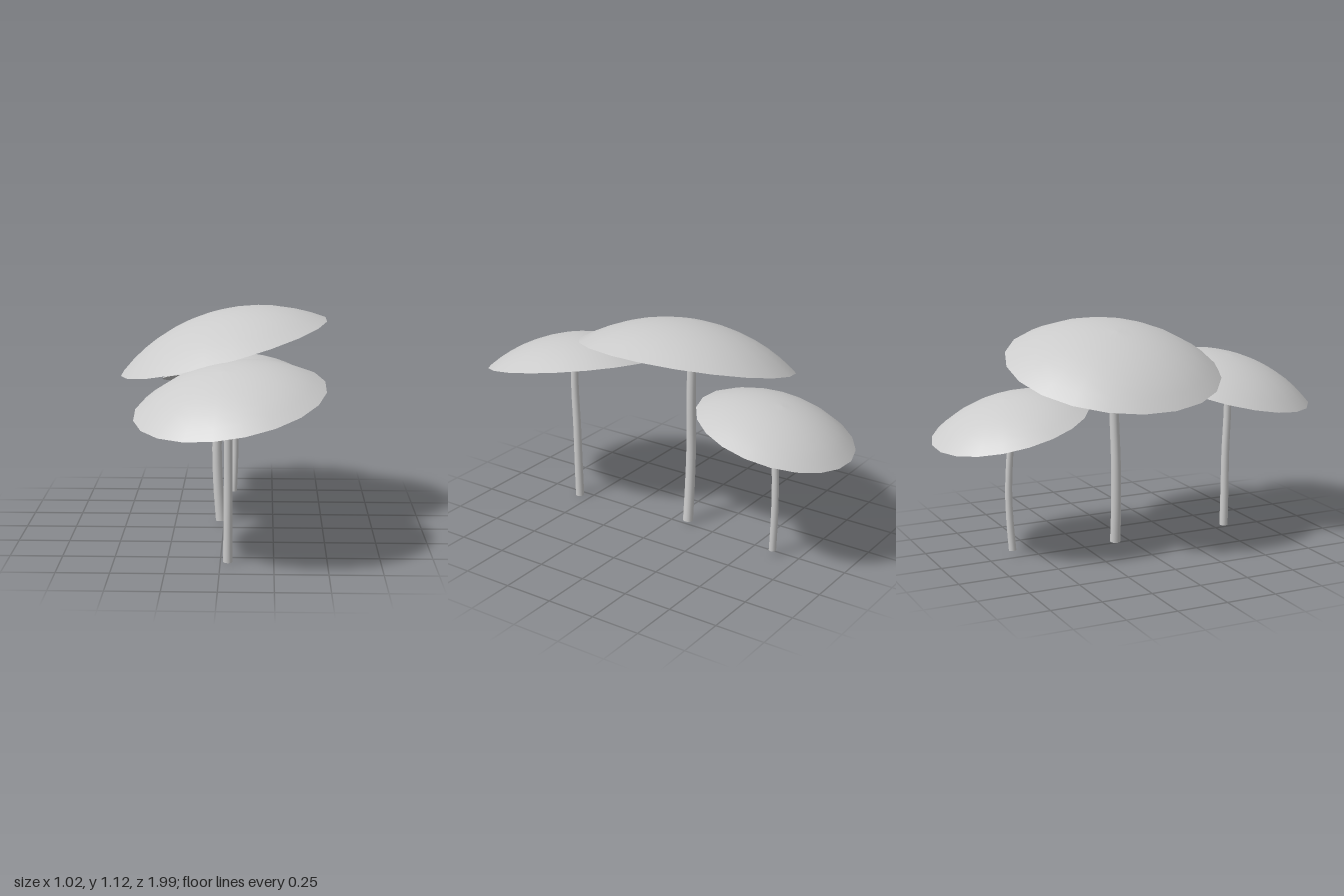
import * as THREE from 'three';

const SIDES = 20;
const V = (x, y, z) => new THREE.Vector3(x, y, z);

// Wide tilted cap: spherical top, shallow conical underside, sharp rim.
function makeCap(name, material, { centre, normal, radius, height }) {
  const cap = new THREE.Group();
  cap.name = name;

  const sphere = (radius * radius + height * height) / (2 * height);
  const maxAngle = Math.asin(radius / sphere);
  const topProfile = [];
  for (let i = 0; i <= 7; i++) {
    const a = maxAngle * (1 - i / 7);
    topProfile.push(new THREE.Vector2(
      i === 7 ? 0 : sphere * Math.sin(a),
      sphere * Math.cos(a) - sphere + height));
  }
  const hollow = height * 0.8;
  const underProfile = [
    new THREE.Vector2(0, hollow),
    new THREE.Vector2(radius * 0.5, hollow * 0.53),
    new THREE.Vector2(radius, 0),
  ];
  const parts = { capTop: topProfile, capUnderside: underProfile };
  for (const [part, profile] of Object.entries(parts)) {
    const mesh = new THREE.Mesh(
      new THREE.LatheGeometry(profile, SIDES, Math.PI / SIDES), material);
    mesh.name = part;
    cap.add(mesh);
  }
  cap.position.copy(centre);
  cap.quaternion.setFromUnitVectors(V(0, 1, 0), normal.clone().normalize());
  return cap;
}

// Slightly bent stem that narrows towards the top, closed at the foot.
function makeStem(name, material, path, radius) {
  const stem = new THREE.Group();
  stem.name = name;

  const rings = 14, around = 14;
  const curve = new THREE.CatmullRomCurve3(path);
  const tube = new THREE.TubeGeometry(curve, rings, radius, around, false);
  const pos = tube.attributes.position;
  const p = V(0, 0, 0);
  for (let i = 0; i < pos.count; i++) {
    const t = Math.floor(i / (around + 1)) / rings;
    const c = curve.getPointAt(t);
    p.fromBufferAttribute(pos, i).sub(c).multiplyScalar(1 - 0.15 * t).add(c);
    pos.setXYZ(i, p.x, p.y, p.z);
  }
  const shaft = new THREE.Mesh(tube, material);
  shaft.name = 'stemShaft';

  const foot = new THREE.Mesh(new THREE.CircleGeometry(radius, around), material);
  foot.name = 'stemFoot';
  foot.position.copy(path[0]);
  foot.quaternion.setFromUnitVectors(V(0, 0, 1), curve.getTangentAt(0).negate());

  stem.add(shaft, foot);
  return stem;
}

export function createModel() {
  const model = new THREE.Group();
  model.name = 'mushroomCluster';
  const material = new THREE.MeshStandardMaterial({ color: 0xcccccc });

  const mushrooms = [
    {
      name: 'middle',
      cap: { centre: V(-0.002, 0.916, -0.09), normal: V(-0.262, 0.965, 0), radius: 0.535, height: 0.178 },
      path: [V(-0.017, 0.015, -0.09), V(-0.031, 0.2, -0.091), V(-0.037, 0.42, -0.094),
        V(-0.028, 0.65, -0.098), V(-0.025, 0.85, -0.101), V(-0.035, 1.06, -0.09)],
      radius: 0.026,
    },
    {
      name: 'front',
      cap: { centre: V(0.043, 0.767, 0.56), normal: V(-0.155, 0.97, 0.185), radius: 0.45, height: 0.148 },
      path: [V(0.035, 0.001, 0.567), V(0.036, 0.2, 0.57), V(0.037, 0.4, 0.572),
        V(0.036, 0.62, 0.58), V(0.034, 0.75, 0.578), V(0.03, 0.885, 0.57)],
      radius: 0.022,
    },
    {
      name: 'back',
      cap: { centre: V(0.0375, 0.672, -0.62), normal: V(-0.05, 0.97, -0.236), radius: 0.389, height: 0.122 },
      path: [V(0.037, 0.028, -0.622), V(0.043, 0.17, -0.63), V(0.046, 0.32, -0.633),
        V(0.043, 0.48, -0.626), V(0.038, 0.65, -0.613), V(0.034, 0.765, -0.62)],
      radius: 0.0185,
    },
  ];

  for (const m of mushrooms) {
    const group = new THREE.Group();
    group.name = m.name + 'Mushroom';
    group.add(
      makeCap(m.name + 'Cap', material, m.cap),
      makeStem(m.name + 'Stem', material, m.path, m.radius));
    model.add(group);
  }
  return model;
}
